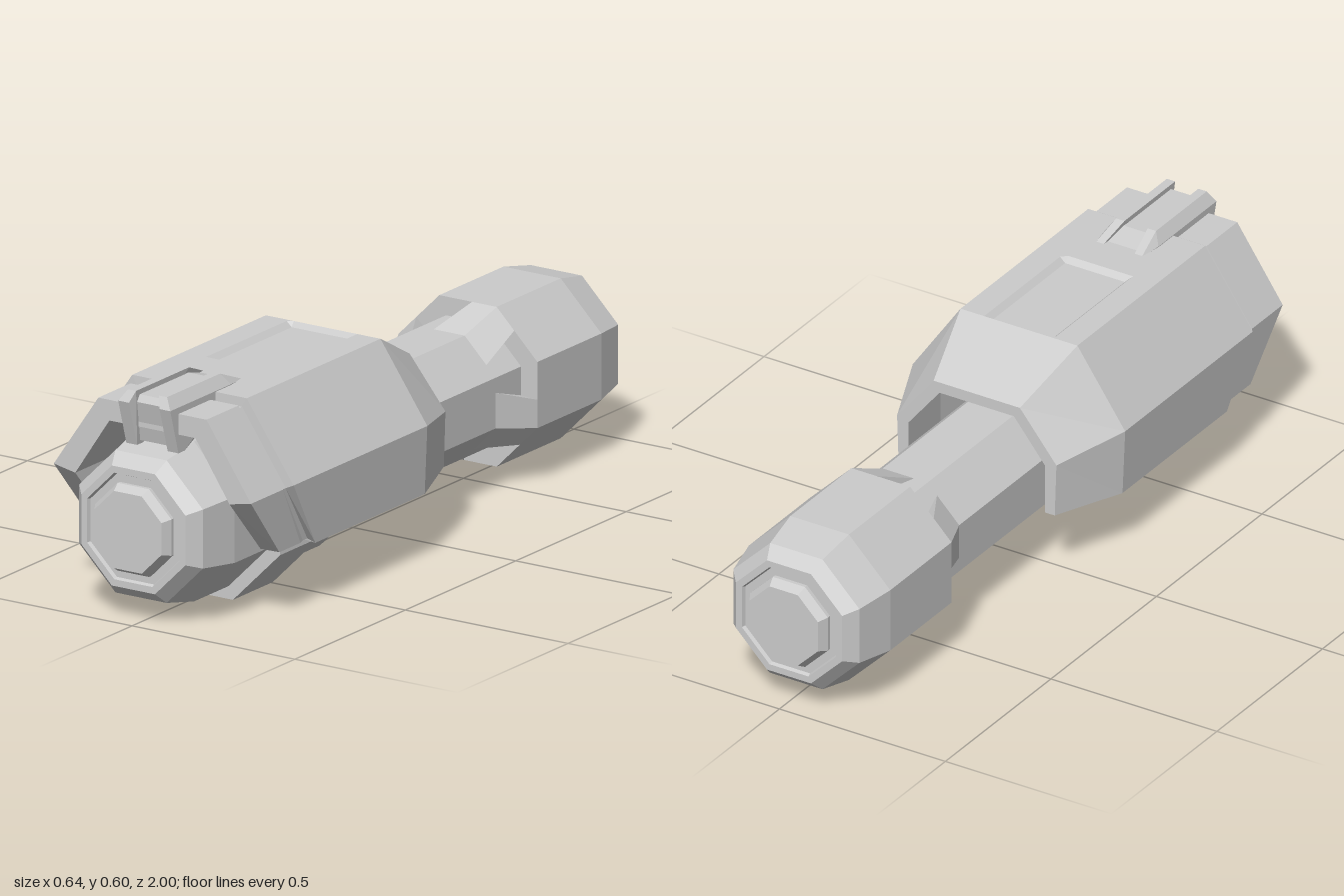
import * as THREE from 'three';
import { ConvexGeometry } from 'three/addons/geometries/ConvexGeometry.js';

const CX = -0.013, CY = 0.247; // axis of the octagonal core
const STEP = Math.PI / 8;
const grey = new THREE.MeshStandardMaterial({ color: 0xcccccc, flatShading: true, side: THREE.DoubleSide });

function add(parent, name, geometry) {
  const mesh = new THREE.Mesh(geometry, grey);
  mesh.name = name;
  parent.add(mesh);
  return mesh;
}

// Octagonal solid along z from [apothem, z] pairs, running back to front.
function octagonal(profile) {
  const pts = profile.map(([a, z]) => new THREE.Vector2(a / Math.cos(STEP), z));
  return new THREE.LatheGeometry(pts, 8, STEP).rotateX(Math.PI / 2);
}

// Wedge over one octagon corner, rising from the shaft to the head's edge.
function cornerRamp(corner, zTip, zHead) {
  const points = [];
  const section = (a, t, z) => {
    const R = a / Math.cos(STEP);
    const at = (ang) => new THREE.Vector3(R * Math.cos(ang), R * Math.sin(ang), z);
    const c = at(corner);
    points.push(c, c.clone().lerp(at(corner + 2 * STEP), t), c.clone().lerp(at(corner - 2 * STEP), t));
  };
  section(0.15, 0.7, zTip);
  section(0.163, 0.7, zTip);
  section(0.15, 0.43, zHead);
  section(0.213, 0.43, zHead);
  return new ConvexGeometry(points);
}

// One arch section: outer and inner outlines as [x, y] for bottom, shoulder and top.
function arch(z, rake, outer, inner, dip = 0) {
  const half = ([b, s, t], d) => [
    [b[0], b[1], z - rake], [s[0], s[1], z], [t[0], t[1], z],
    [0.105, t[1], z], [0.09, t[1] - d, z],
  ];
  const full = (o, d) => {
    const h = half(o, d);
    return [...h, ...h.slice().reverse().map(([x, y, w]) => [-x, y, w])];
  };
  return [...full(outer, dip), ...full(inner, 0).reverse()];
}

// Skin a row of arch sections, back to front, and close both ends.
function loftArch(sections) {
  const pos = [], n = sections[0].length;
  const quad = (a, b, c, d) => pos.push(...a, ...b, ...c, ...a, ...c, ...d);
  for (let s = 0; s < sections.length - 1; s++) {
    const A = sections[s], B = sections[s + 1];
    for (let k = 0; k < n; k++) {
      const j = (k + 1) % n;
      quad(A[k], A[j], B[j], B[k]);
    }
  }
  const first = sections[0], last = sections[sections.length - 1];
  for (let k = 0; k < n / 2 - 1; k++) {
    quad(last[k], last[k + 1], last[n - 2 - k], last[n - 1 - k]);
    quad(first[n - 1 - k], first[n - 2 - k], first[k + 1], first[k]);
  }
  const g = new THREE.BufferGeometry();
  g.setAttribute('position', new THREE.Float32BufferAttribute(pos, 3));
  g.computeVertexNormals();
  return g;
}

export function createModel() {
  const model = new THREE.Group();
  model.name = 'octagonalDevice';

  // Core: shaft, two heads and stepped end caps
  const core = new THREE.Group();
  core.name = 'core';
  core.position.set(CX, CY, 0);
  model.add(core);
  const cap = [[0, 1], [0.103, 1], [0.117, 0.975], [0.117, 0.965], [0.138, 0.965], [0.142, 0.975],
    [0.16, 0.975], [0.19, 0.94], [0.213, 0.83]];
  add(core, 'coreBody', octagonal([
    ...cap.map(([a, z]) => [a, -z]),
    [0.213, -0.54], [0.163, -0.54], [0.163, 0.26], [0.213, 0.26],
    ...cap.slice().reverse(),
  ]));

  // Four corner ramps behind each head
  for (let i = 0; i < 4; i++) {
    const corner = 3 * STEP + i * Math.PI / 2;
    add(core, 'rearRamp', cornerRamp(corner, -0.425, -0.54));
    add(core, 'frontRamp', cornerRamp(corner, 0.14, 0.26));
  }

  // Half collar under the front head
  const R = 0.247 / Math.cos(STEP);
  const collar = new THREE.Shape();
  collar.moveTo(-0.235, 0.01);
  for (const k of [-7, -5, -3, -1]) collar.lineTo(R * Math.cos(k * STEP), R * Math.sin(k * STEP));
  collar.lineTo(0.235, 0.01);
  add(core, 'collar', new THREE.ExtrudeGeometry(collar, { depth: 0.18, bevelEnabled: false }).translate(0, 0, 0.495));

  // Arched shroud with a tapered rear, recessed top panel and raked front
  const outer = [[0.312, 0.18], [0.32, 0.363], [0.176, 0.57]];
  const inner = [[0.237, 0.187], [0.237, 0.342], [0.132, 0.5]];
  const lip = [[0.295, 0.188], [0.303, 0.355], [0.166, 0.555]];
  const groove = [[0.288, 0.188], [0.296, 0.352], [0.162, 0.545]];
  add(model, 'shroud', loftArch([
    arch(-0.065, 0, [[0.235, 0.187], [0.24, 0.335], [0.13, 0.47]], [[0.205, 0.187], [0.205, 0.325], [0.112, 0.44]]),
    arch(0.135, 0, outer, inner),
    arch(0.145, 0, outer, inner, 0.014),
    arch(0.495, 0, outer, inner, 0.014),
    arch(0.51, 0, outer, inner),
    arch(0.74, 0.11, outer, inner),
    arch(0.741, 0.11, groove, inner),
    arch(0.762, 0.11, groove, inner),
    arch(0.763, 0.09, lip, inner),
    arch(0.908, 0.14, lip, inner),
  ]));

  // Sight: a low centre bar between two bevelled rails, [z, y, outer x]
  const sight = new THREE.Group();
  sight.name = 'sight';
  model.add(sight);
  const rail = [[0.945, 0.572, 0.08], [0.93, 0.602, 0.06], [0.69, 0.602, 0.06], [0.67, 0.572, 0.08],
    [0.605, 0.568, 0.07], [0.76, 0.52, 0.08], [0.88, 0.45, 0.08], [0.908, 0.45, 0.08]];
  for (const side of [-1, 1]) {
    add(sight, 'sightRail', new ConvexGeometry(rail.flatMap(([z, y, x]) => [
      new THREE.Vector3(side * (y < 0.59 ? 0.047 : 0.035), y, z), new THREE.Vector3(side * x, y, z),
    ])));
  }
  const bar = [[0.922, 0.57], [0.912, 0.588], [0.69, 0.588], [0.62, 0.568], [0.76, 0.52], [0.87, 0.46], [0.895, 0.46]];
  add(sight, 'sightBar', new ConvexGeometry(bar.flatMap(([z, y]) => [
    new THREE.Vector3(-0.05, y, z), new THREE.Vector3(0.05, y, z),
  ])));

  return model;
}
